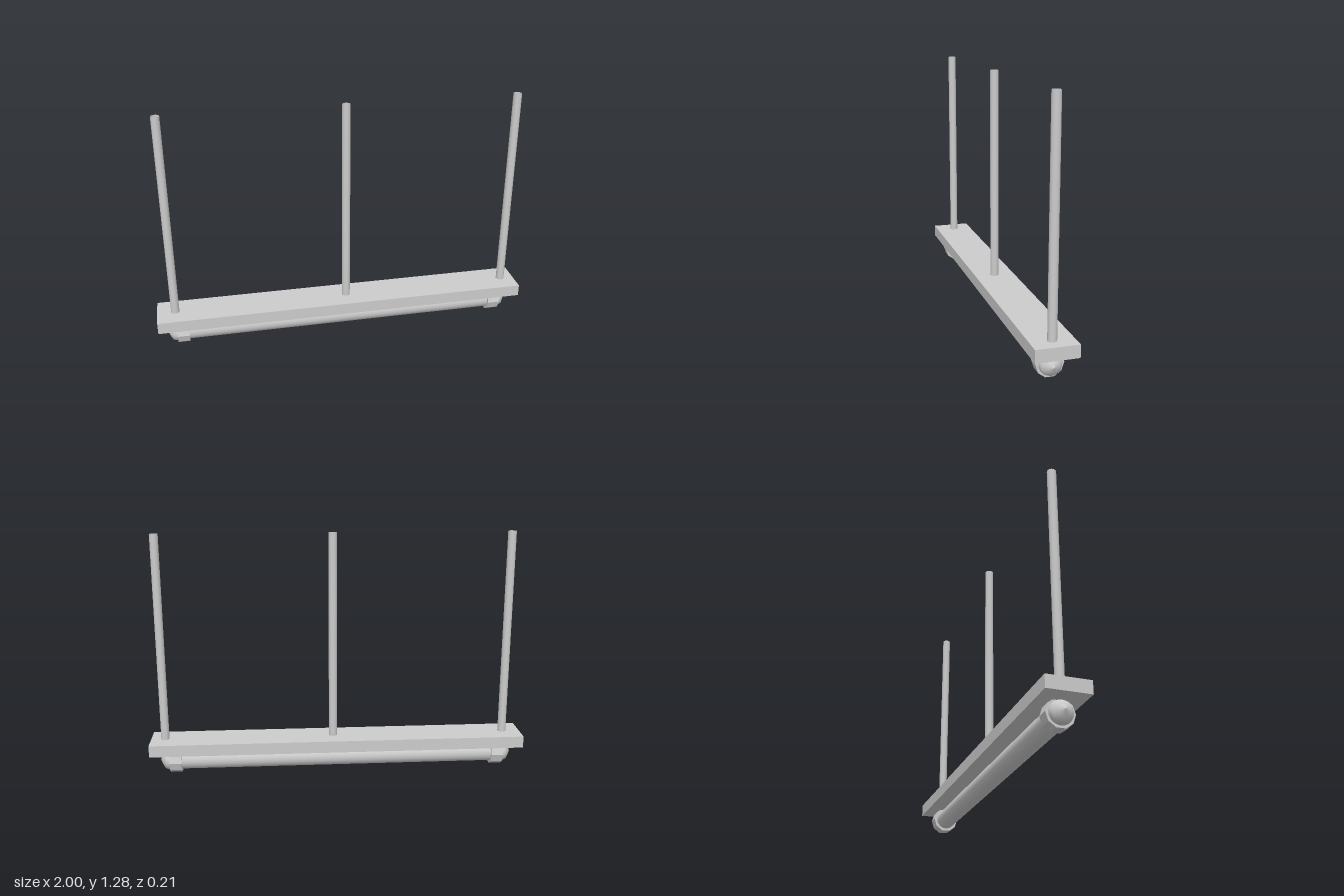
import * as THREE from 'three';

export function createModel() {
  const model = new THREE.Group();
  const smooth = new THREE.MeshStandardMaterial({ color: 0xcccccc });
  const faceted = new THREE.MeshStandardMaterial({ color: 0xcccccc, flatShading: true });
  const open = new THREE.MeshStandardMaterial({ color: 0xcccccc, side: THREE.DoubleSide });
  const axisY = 0.069; // height of the lamp axis

  const add = (parent, name, geometry, material, x, y) => {
    const mesh = new THREE.Mesh(geometry, material);
    mesh.name = name;
    mesh.position.set(x, y, 0);
    parent.add(mesh);
    return mesh;
  };

  // Mounting plate
  add(model, 'mountingPlate', new THREE.BoxGeometry(2, 0.063, 0.21), smooth, 0, 0.156);

  // Open hanging rods
  for (const x of [-0.905, 0.025, 0.925]) {
    add(model, 'hangingRod', new THREE.CylinderGeometry(0.022, 0.022, 1.1, 16, 1, true), open, x, 0.733);
  }

  // Lamp tube, lying along x
  const tube = new THREE.CylinderGeometry(0.052, 0.052, 1.74, 24).rotateZ(Math.PI / 2);
  add(model, 'lampTube', tube, smooth, 0, axisY);

  // Ten-sided collar and pointed dome at each end
  const domeProfile = [[0.055, 0], [0.054, 0.014], [0.048, 0.028], [0.027, 0.042], [0, 0.055]]
    .map(([r, h]) => new THREE.Vector2(r, h));
  for (const side of [-1, 1]) {
    const end = new THREE.Group();
    end.name = side > 0 ? 'leftEnd' : 'rightEnd';
    end.rotation.y = side > 0 ? 0 : Math.PI;
    model.add(end);

    const collar = new THREE.CylinderGeometry(0.068, 0.068, 0.063, 10)
      .rotateZ(-Math.PI / 2);
    add(end, 'collar', collar, faceted, 0.871, axisY);

    const dome = new THREE.LatheGeometry(domeProfile, 20).rotateZ(-Math.PI / 2);
    add(end, 'endDome', dome, smooth, 0.9, axisY);
  }

  return model;
}
